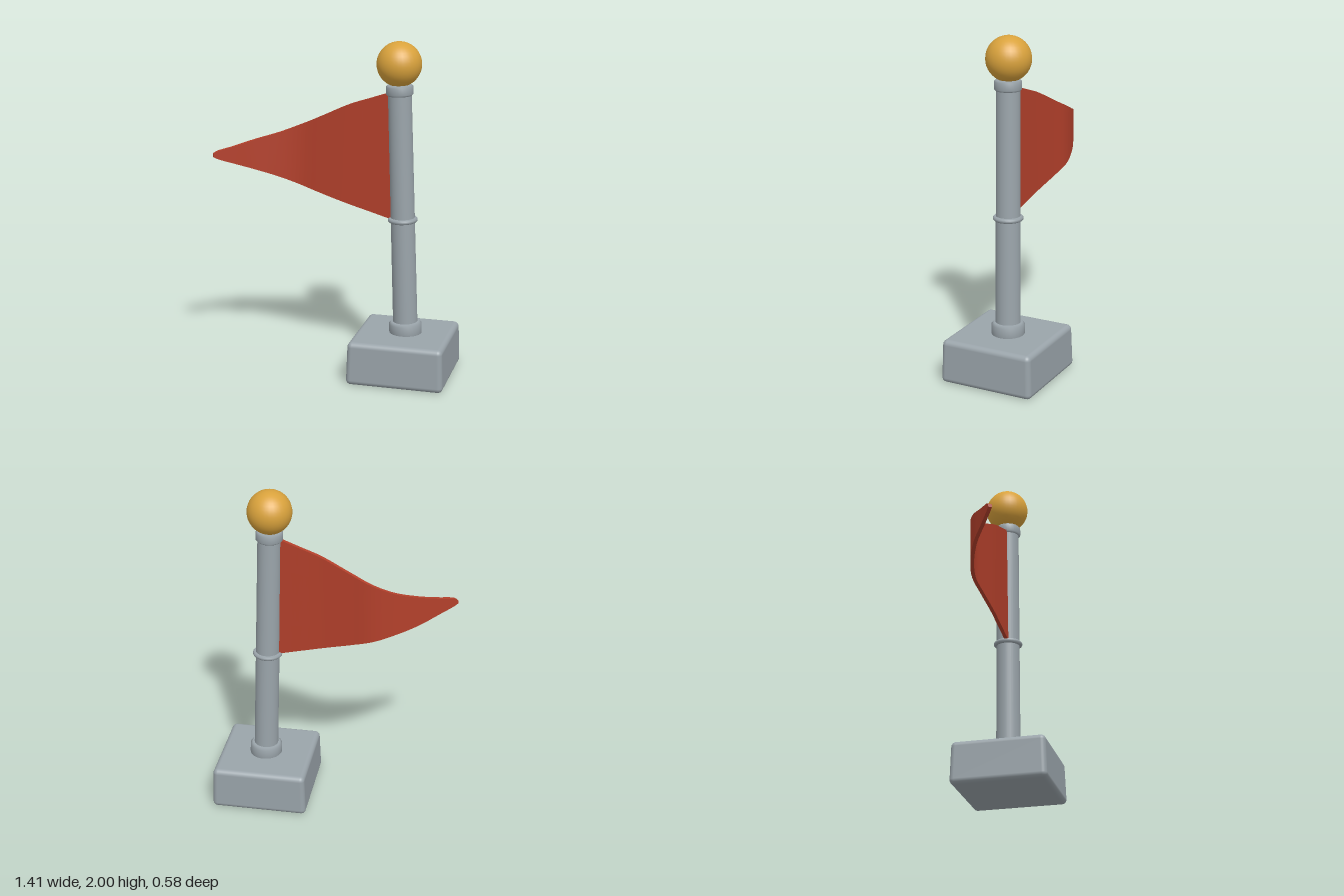
import * as THREE from 'three';
import { RoundedBoxGeometry } from 'three/addons/geometries/RoundedBoxGeometry.js';

const material = (name, color) => {
  const m = new THREE.MeshStandardMaterial({ color });
  m.name = name;
  return m;
};

export function createModel() {
  const grey = material('stone grey', 0x9aa4aa);
  const red = material('flag red', 0xb3402b);
  const gold = material('finial gold', 0xd9a23c);

  const model = new THREE.Group();
  model.name = 'pennantFlag';
  const add = (parent, name, geometry, mat, x = 0, y = 0, z = 0) => {
    const mesh = new THREE.Mesh(geometry, mat);
    mesh.name = name;
    mesh.position.set(x, y, z);
    parent.add(mesh);
    return mesh;
  };

  // Base block, narrowing slightly towards the top
  const block = new RoundedBoxGeometry(0.58, 0.26, 0.58, 4, 0.03);
  const p = block.attributes.position;
  for (let i = 0; i < p.count; i++) {
    const s = 0.985 - 0.11 * p.getY(i);
    p.setX(i, p.getX(i) * s);
    p.setZ(i, p.getZ(i) * s);
  }
  add(model, 'base', block, grey, 0.413, 0.13, 0);

  // Leaning pole with its collars and ball
  const pole = new THREE.Group();
  pole.name = 'pole';
  pole.position.set(0.428, 0, -0.008);
  pole.rotation.set(0.011, 0, 0.033);
  model.add(pole);
  add(pole, 'shaft', new THREE.CylinderGeometry(0.068, 0.073, 1.5, 32), grey, 0, 0.98, 0);

  // Ring with bevelled rims
  const collar = (name, radius, bottom, top, bevel) => {
    const profile = [
      [0, bottom], [radius - bevel, bottom], [radius, bottom + bevel],
      [radius, top - bevel], [radius - bevel, top], [0, top],
    ].map(([r, y]) => new THREE.Vector2(r, y));
    add(pole, name, new THREE.LatheGeometry(profile, 32), grey);
  };
  collar('bottomCollar', 0.097, 0.24, 0.329, 0.014);
  collar('middleRing', 0.087, 0.941, 0.968, 0.008);
  collar('topCollar', 0.079, 1.69, 1.752, 0.01);
  add(pole, 'ball', new THREE.SphereGeometry(0.13, 32, 20), gold, 0, 1.87, -0.004);

  // Waving pennant: stations of x at top, x at bottom, top, bottom, z
  const stations = [
    [0.33, 0.36, 1.71, 0.947, 0.012],
    [0.2, 0.2, 1.665, 0.99, 0.002],
    [0.07, 0.05, 1.62, 1.03, -0.008],
    [-0.1, -0.11, 1.54, 1.075, -0.028],
    [-0.23, -0.24, 1.48, 1.115, -0.042],
    [-0.36, -0.36, 1.428, 1.158, -0.02],
    [-0.49, -0.49, 1.39, 1.205, 0.033],
    [-0.6, -0.6, 1.356, 1.25, 0.105],
    [-0.69, -0.69, 1.331, 1.288, 0.165],
    [-0.707, -0.707, 1.318, 1.3, 0.176],
  ];
  const topEdge = new THREE.CatmullRomCurve3(
    stations.map(([xt, , t, , z]) => new THREE.Vector3(xt, t, z)));
  const bottomEdge = new THREE.CatmullRomCurve3(
    stations.map(([, xb, , b, z]) => new THREE.Vector3(xb, b, z)));

  // Bend a thin slab between the two edges
  const cloth = new THREE.BoxGeometry(1, 1, 0.022, 45, 4, 1);
  const c = cloth.attributes.position;
  for (let i = 0; i < c.count; i++) {
    const t = 0.5 - c.getX(i);
    const v = topEdge.getPoint(t).lerp(bottomEdge.getPoint(t), 0.5 - c.getY(i));
    const tangent = topEdge.getTangent(t);
    const side = new THREE.Vector3(tangent.z, 0, -tangent.x).normalize();
    v.addScaledVector(side, c.getZ(i));
    c.setXYZ(i, v.x, v.y, v.z);
  }
  cloth.computeVertexNormals();
  add(model, 'pennant', cloth, red);

  return model;
}
